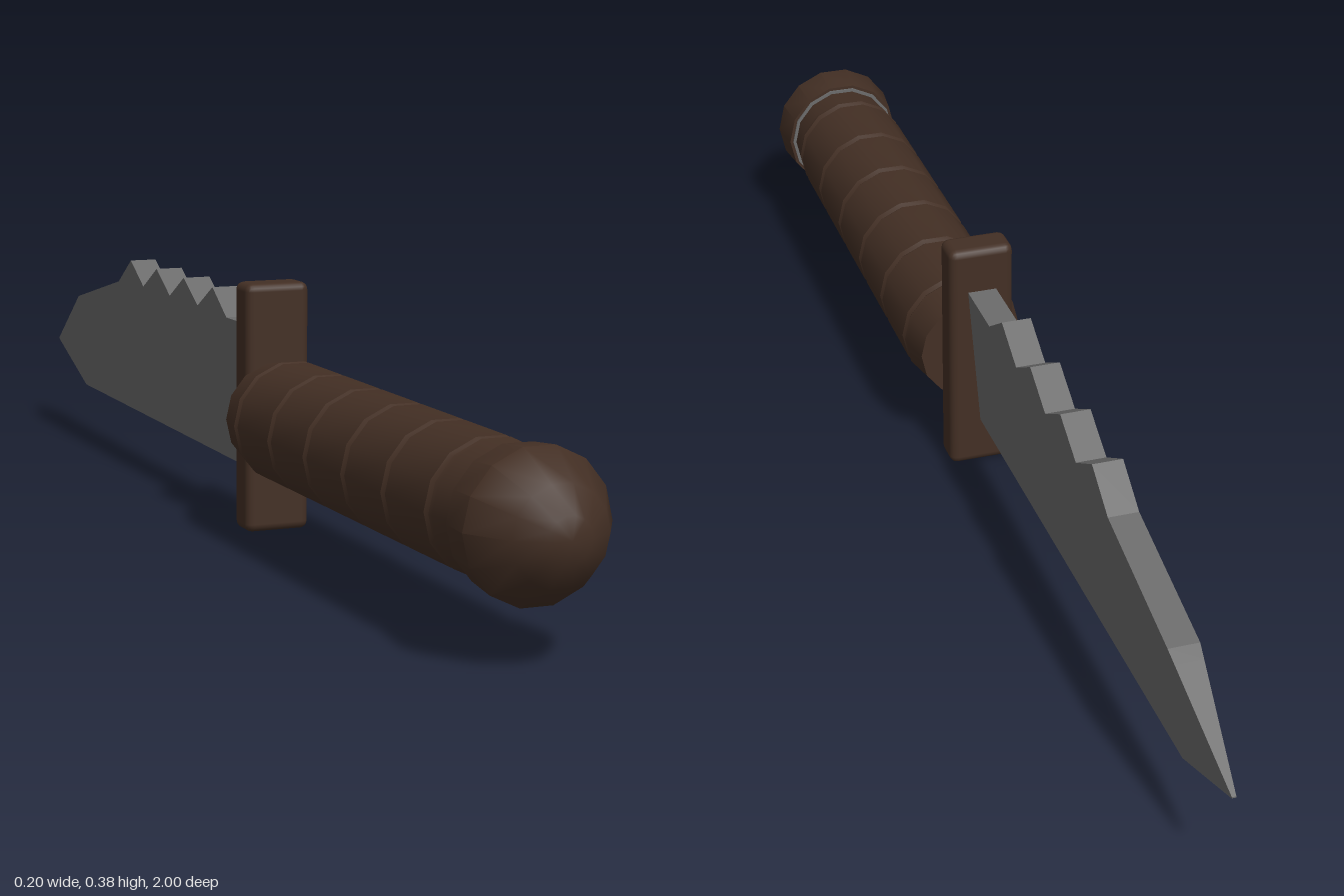
import * as THREE from 'three';
import { toCreasedNormals } from 'three/addons/utils/BufferGeometryUtils.js';
import { RoundedBoxGeometry } from 'three/addons/geometries/RoundedBoxGeometry.js';

const AXIS_Y = 0.175; // height of the handle's axis
const SIDES = 14;

const leather = new THREE.MeshStandardMaterial({ color: 0x432f24 });
leather.name = 'darkBrown';
const steel = new THREE.MeshStandardMaterial({ color: 0x6b6b6b });
steel.name = 'steelGrey';

function addMesh(group, name, geometry, material) {
  const mesh = new THREE.Mesh(geometry, material);
  mesh.name = name;
  group.add(mesh);
  return mesh;
}

// Turned part along z from [radius, z] pairs
function turned(profile, crease) {
  const points = profile.map(([r, z]) => new THREE.Vector2(r, z));
  const geometry = new THREE.LatheGeometry(points, SIDES, Math.PI / 2);
  geometry.rotateX(Math.PI / 2);
  geometry.translate(0, AXIS_Y, 0);
  return toCreasedNormals(geometry, crease);
}

// Grip outline with shallow grooves between the wrapped bands
function gripProfile() {
  const profile = [[0, 0.075], [0.082, 0.075], [0.091, 0.125]];
  for (let i = 0; i < 6; i++) {
    const z = 0.14 + i * 0.13;
    profile.push([0.092, z - 0.007], [0.088, z], [0.092, z + 0.007]);
  }
  profile.push([0.091, 0.805], [0.085, 0.86]);
  return profile;
}

// Wedge-shaped blade lofted through four-cornered sections along z
function bladeGeometry() {
  const spine = [[0.03, 0.305], [-0.08, 0.305]];
  for (let i = 0; i < 4; i++) {
    spine.push([-0.14 - i * 0.13, 0.345]);
    if (i < 3) spine.push([-0.207 - i * 0.13, 0.308]);
  }
  spine.push([-0.595, 0.302], [-0.82, 0.25], [-0.84, 0.239], [-1, 0.15]);

  const sections = spine.map(([z, top]) => {
    const bottom = z >= -0.84
      ? THREE.MathUtils.mapLinear(z, 0.03, -0.84, 0.076, 0.085)
      : 0.148;
    const wide = z >= -0.82 ? 0.022 : THREE.MathUtils.mapLinear(z, -0.82, -1, 0.022, 0.003);
    const thin = 0.003;
    return [[wide, top, z], [-wide, top, z], [-thin, bottom, z], [thin, bottom, z]];
  });

  const positions = [];
  const quad = (a, b, c, d) => positions.push(...a, ...b, ...c, ...a, ...c, ...d);
  for (let i = 0; i < sections.length - 1; i++) {
    const s = sections[i];
    const t = sections[i + 1];
    for (let k = 0; k < 4; k++) {
      const n = (k + 1) % 4;
      quad(s[k], t[k], t[n], s[n]);
    }
  }
  quad(...sections[0]);
  quad(...sections[sections.length - 1].slice().reverse());

  const geometry = new THREE.BufferGeometry();
  geometry.setAttribute('position', new THREE.Float32BufferAttribute(positions, 3));
  geometry.computeVertexNormals();
  return geometry;
}

export function createModel() {
  const group = new THREE.Group();
  group.name = 'knife';

  addMesh(group, 'blade', bladeGeometry(), steel);

  const guard = addMesh(group, 'guard', new RoundedBoxGeometry(0.1, 0.375, 0.055, 2, 0.012), leather);
  guard.position.set(0, 0.1875, 0.0525);

  addMesh(group, 'grip', turned(gripProfile(), 0.5), leather);

  // Pommel with a domed end
  const pommel = [[0, 0.855], [0.096, 0.855], [0.102, 0.912], [0.066, 0.972], [0.03, 0.995], [0, 1]];
  addMesh(group, 'pommel', turned(pommel, 0.75), leather);

  // Thin steel washer where the grip meets the pommel
  const washer = [[0.08, 0.852], [0.091, 0.852], [0.091, 0.857]];
  addMesh(group, 'washer', turned(washer, 0.5), steel);

  return group;
}
